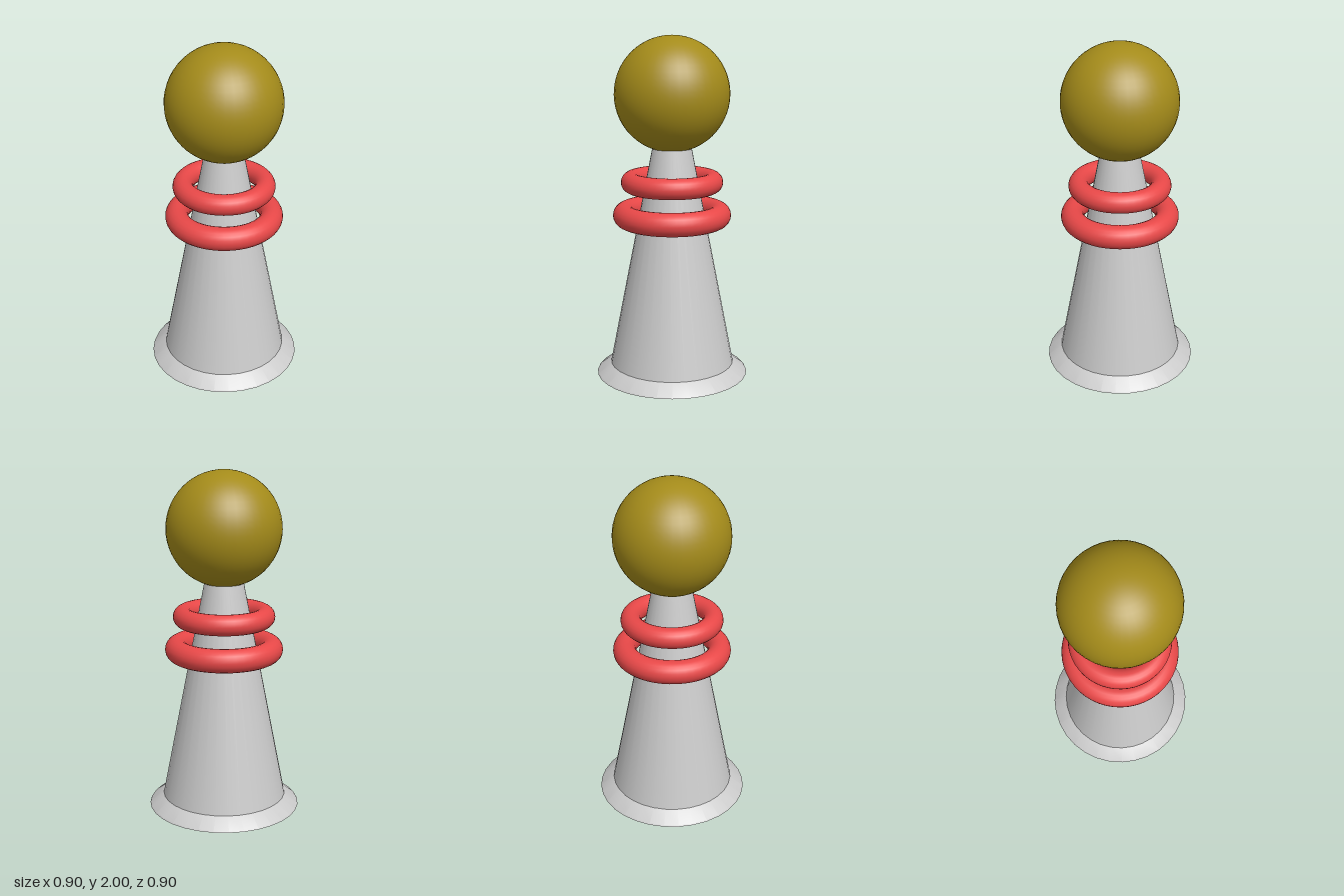
import * as THREE from 'three';
import { toCreasedNormals } from 'three/addons/utils/BufferGeometryUtils.js';

export function createModel() {
  const model = new THREE.Group();
  const grey = new THREE.MeshStandardMaterial({ color: 0xcccccc });
  const gold = new THREE.MeshStandardMaterial({ color: 0xa48b1a });
  const red = new THREE.MeshStandardMaterial({ color: 0xe84848 });

  function add(name, geometry, material, y = 0) {
    const mesh = new THREE.Mesh(geometry, material);
    mesh.name = name;
    mesh.position.y = y;
    model.add(mesh);
  }

  // Tapered body with a flared foot, closed underneath and inside the ball
  const profile = [
    [0, 0], [0.45, 0], [0.445, 0.008], [0.367, 0.065], [0.112, 1.37], [0, 1.37],
  ].map(([r, y]) => new THREE.Vector2(r, y));
  add('body', toCreasedNormals(new THREE.LatheGeometry(profile, 32), 0.4), grey);

  // Loose rings around the neck: [name, ring radius, tube radius, height]
  for (const [name, radius, tube, y] of [
    ['lowerRing', 0.278, 0.068, 0.963],
    ['upperRing', 0.238, 0.06, 1.158],
  ]) {
    add(name, new THREE.TorusGeometry(radius, tube, 20, 48).rotateX(Math.PI / 2), red, y);
  }

  // Ball on top
  add('ball', new THREE.SphereGeometry(0.333, 40, 28), gold, 1.667);

  return model;
}
